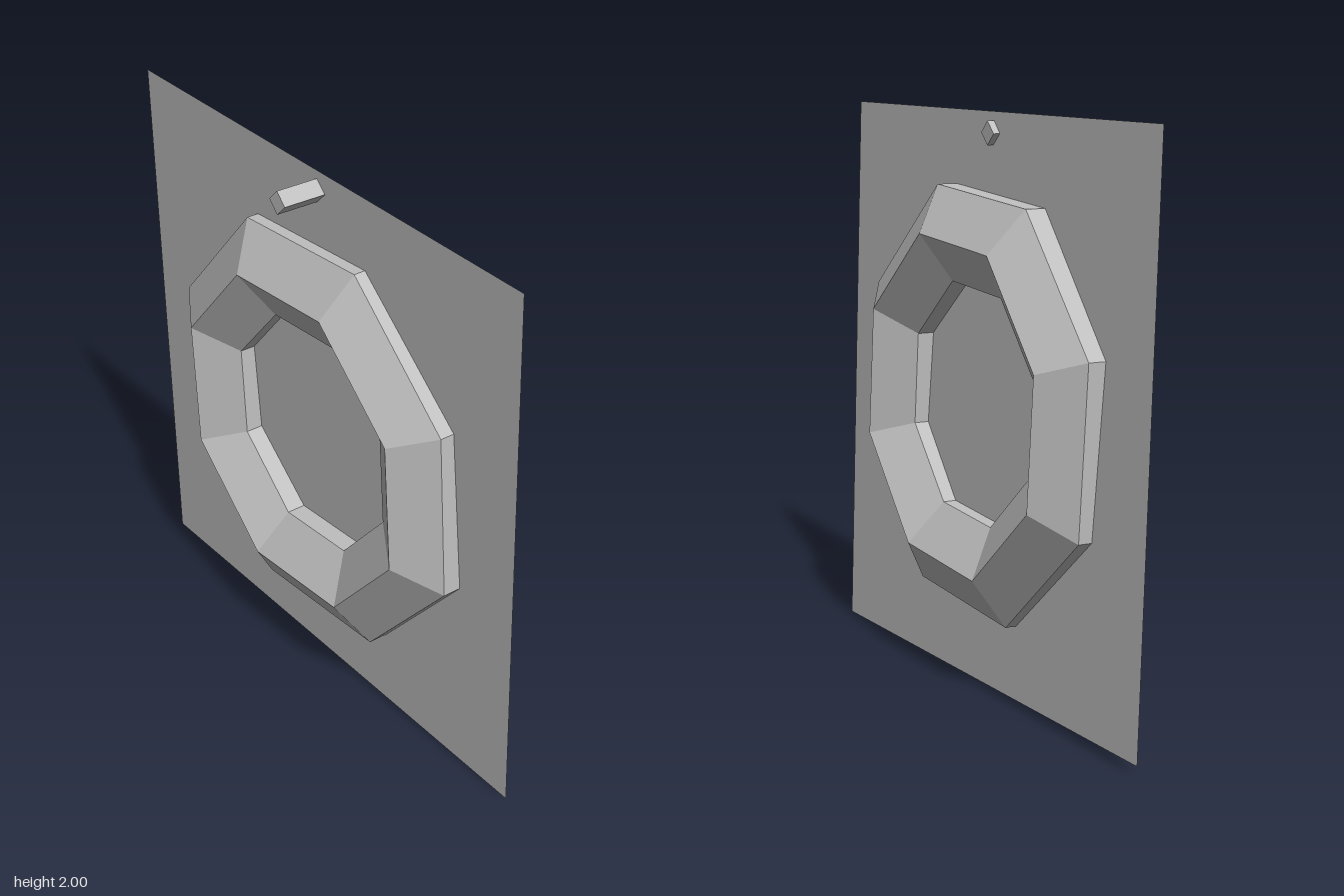
import * as THREE from 'three';

export function createModel() {
  const model = new THREE.Group();
  const grey = new THREE.MeshStandardMaterial({ name: 'grey', color: 0xc0c0c0, flatShading: true, side: THREE.DoubleSide });

  const add = (name, geometry, position, rotation) => {
    const mesh = new THREE.Mesh(geometry, grey);
    mesh.name = name;
    mesh.position.set(...position);
    mesh.rotation.set(...rotation);
    model.add(mesh);
    return mesh;
  };

  // Thin square sheet, leaning slightly forward
  add('backSheet', new THREE.PlaneGeometry(1.966, 1.962), [0, 1.002, -0.015], [0.043, 0, -0.018]);

  // Eight-sided ring with a six-sided section, passing through the sheet
  const section = [
    [0.765, -0.058], [0.765, 0.058], [0.595, 0.158],
    [0.425, 0.058], [0.425, -0.058], [0.595, -0.158], [0.765, -0.058],
  ].map(([r, y]) => new THREE.Vector2(r, y));
  const ring = new THREE.LatheGeometry(section, 8).rotateX(Math.PI / 2);
  add('ring', ring, [0, 1.002, -0.014], [0.02, 0, THREE.MathUtils.degToRad(25.5)]);

  // Small square peg standing on its edge above the ring
  const peg = new THREE.CylinderGeometry(0.041, 0.041, 0.18, 4).rotateX(Math.PI / 2);
  add('peg', peg, [0.015, 1.911, 0.09], [0, 0, 0]);

  return model;
}
